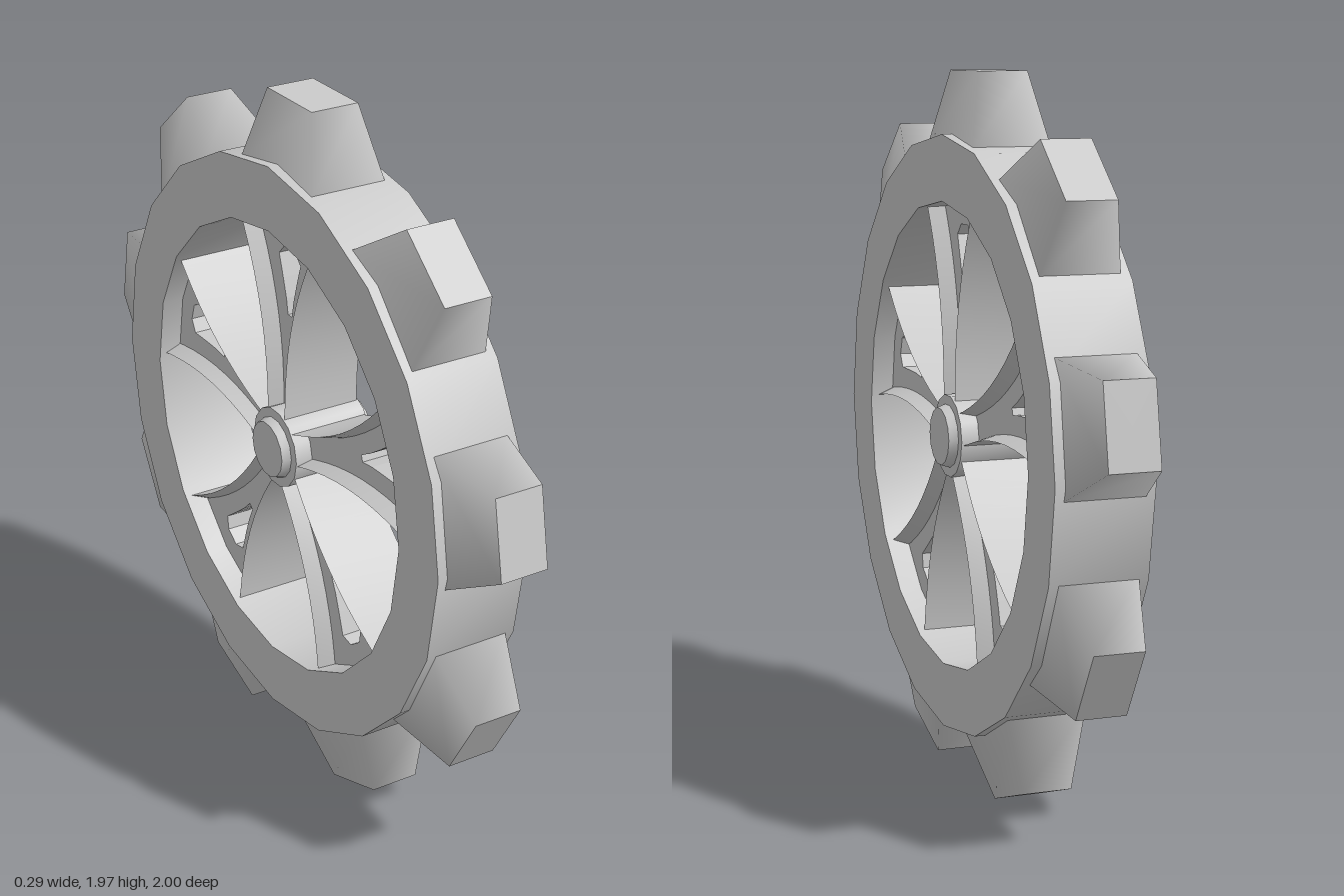
import * as THREE from 'three';
import { toCreasedNormals } from 'three/addons/utils/BufferGeometryUtils.js';

const CENTER_Y = 0.975;
const material = new THREE.MeshStandardMaterial({ color: 0xcccccc });

// Half width of a spoke, and of its sloping lip, at a given radius
const along = (r) => Math.max(0, (r - 0.1) / 0.52);
const halfWidth = (r) => 0.045 + 0.133 * along(r) ** 2.2;
const lipWidth = (r) => 0.01 + 0.012 * along(r);
const LIP_X = 0.115, PANEL_X = 0.07;
const radii = Array.from({ length: 11 }, (_, i) => 0.07 + i * 0.059);

function part(name, geometry) {
  const mesh = new THREE.Mesh(geometry, material);
  mesh.name = name;
  return mesh;
}

// Profile of [radius, x] turned around the wheel's axle
function turned(profile, sides) {
  const points = profile.map(([r, x]) => new THREE.Vector2(r, x));
  const geometry = new THREE.LatheGeometry(points, sides).rotateZ(-Math.PI / 2);
  return toCreasedNormals(geometry, 0.6);
}

// Recessed web of a spoke, with a teardrop opening
function panelGeometry() {
  const edge = radii.map((r) => new THREE.Vector2(halfWidth(r) - lipWidth(r), r));
  const mirrored = (pts) => pts.map((p) => new THREE.Vector2(-p.x, p.y)).reverse();
  const shape = new THREE.Shape([...edge, ...mirrored(edge)]);
  const drop = [[0.01, 0.385], [0.018, 0.43], [0.034, 0.485], [0.055, 0.55], [0.026, 0.58]]
    .map(([x, y]) => new THREE.Vector2(x, y));
  shape.holes.push(new THREE.Path([...drop, ...mirrored(drop)]));
  return new THREE.ExtrudeGeometry(shape, { depth: 2 * PANEL_X, bevelEnabled: false })
    .translate(0, 0, -PANEL_X).rotateY(Math.PI / 2);
}

// Side wall of a spoke, with lips sloping in to the panel on both faces
function wallGeometry() {
  const positions = [], index = [];
  radii.forEach((r, i) => {
    const w = halfWidth(r), inner = w - lipWidth(r);
    for (const [x, z] of [[-PANEL_X, inner], [-LIP_X, w], [LIP_X, w], [PANEL_X, inner]]) {
      positions.push(x, r, z);
    }
    if (i === radii.length - 1) return;
    for (let j = 0; j < 3; j++) {
      const a = i * 4 + j;
      index.push(a, a + 1, a + 4, a + 1, a + 5, a + 4);
    }
  });
  const geometry = new THREE.BufferGeometry();
  geometry.setAttribute('position', new THREE.Float32BufferAttribute(positions, 3));
  geometry.setIndex(index);
  return toCreasedNormals(geometry, 0.6);
}

export function createModel() {
  const wheel = new THREE.Group();
  wheel.name = 'cogWheel';
  const turning = new THREE.Group();
  turning.name = 'wheelBody';
  turning.position.y = CENTER_Y;
  wheel.add(turning);

  // Rim and hub
  turning.add(part('rim', turned(
    [[0.645, -0.135], [0.825, -0.135], [0.825, 0.135], [0.645, 0.135], [0.645, -0.135]], 20)));
  turning.add(part('hub', turned(
    [[0, -0.145], [0.08, -0.145], [0.088, -0.12], [0.115, -0.12],
      [0.115, 0.12], [0.088, 0.12], [0.08, 0.145], [0, 0.145]], 14)));

  // Nine tapered teeth
  const toothGeometry = new THREE.CylinderGeometry(
    0.62 * Math.SQRT2, Math.SQRT2, 0.205, 4, 1, false, Math.PI / 4)
    .scale(0.112, 1, 0.18).translate(0, 0.8925, 0);
  for (let i = 0; i < 9; i++) {
    const tooth = part('tooth', toothGeometry);
    tooth.rotation.x = (i / 9) * Math.PI * 2;
    turning.add(tooth);
  }

  // Five flared spokes
  const panel = panelGeometry();
  const wall = wallGeometry();
  for (let i = 0; i < 5; i++) {
    const spoke = new THREE.Group();
    spoke.name = 'spoke';
    const otherWall = part('spokeWall', wall);
    otherWall.rotation.y = Math.PI;
    spoke.add(part('spokePanel', panel), part('spokeWall', wall), otherWall);
    spoke.rotation.x = (i / 5) * Math.PI * 2;
    turning.add(spoke);
  }
  return wheel;
}
